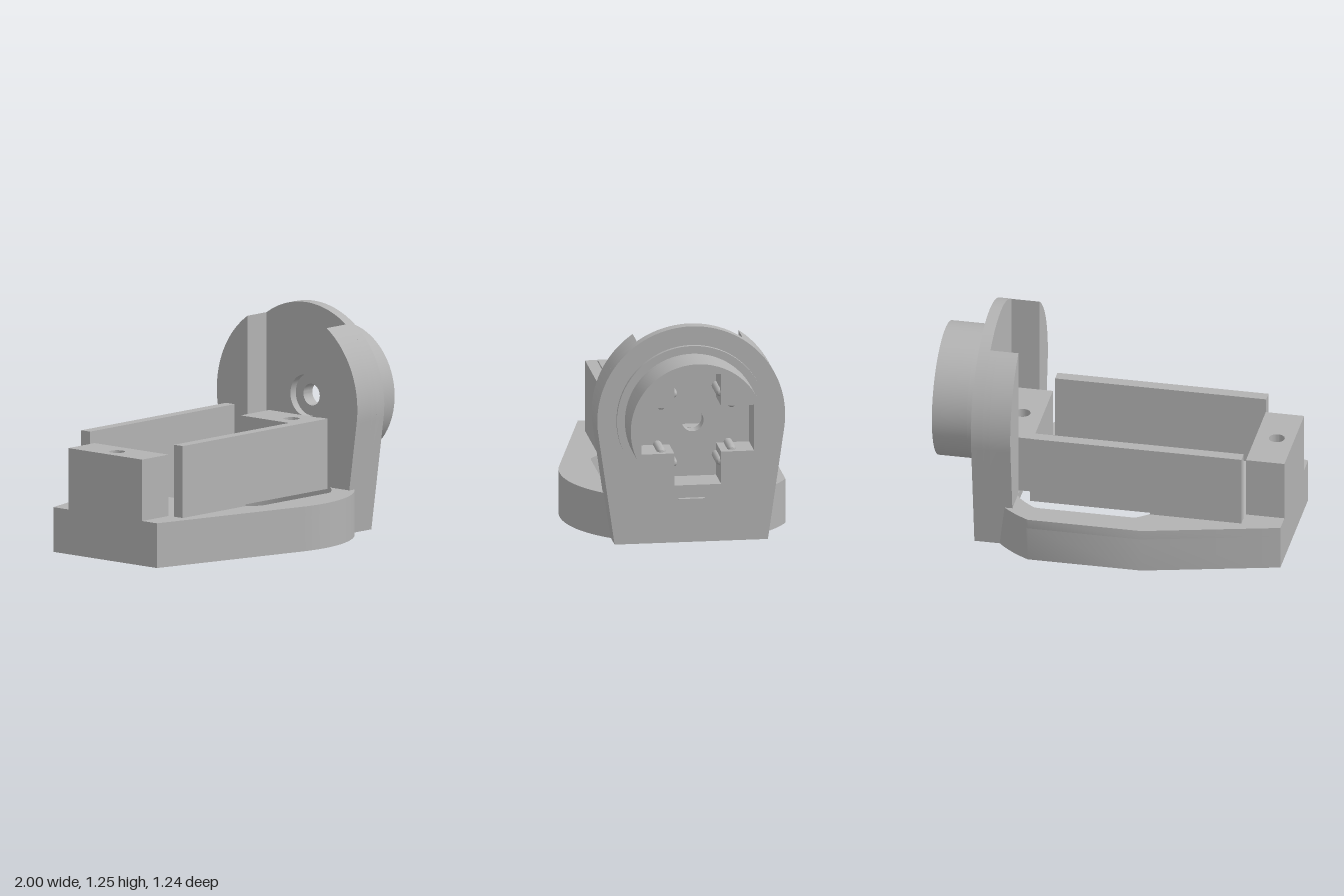
import * as THREE from 'three';
import { toCreasedNormals } from 'three/addons/utils/BufferGeometryUtils.js';

const PI = Math.PI;
const AXIS_Y = 0.72;      // height of the socket axis
const FLANGE_R = 0.533;
const FOOT = 0.435;       // half width of the flange at the ground
const BORE = { x: 0.11, r: 0.525 };

const pt = (x, y) => new THREE.Vector2(x, y);

// Points along a circular arc from angle a0 to a1
function arc(cx, cy, r, a0, a1, n = 40) {
  return Array.from({ length: n + 1 }, (_, i) => {
    const a = a0 + ((a1 - a0) * i) / n;
    return pt(cx + r * Math.cos(a), cy + r * Math.sin(a));
  });
}
const circle = (cx, cy, r, n = 64) => arc(cx, cy, r, 0, 2 * PI, n).slice(0, -1);

function shapeOf(outline, ...holes) {
  const s = new THREE.Shape(outline);
  holes.forEach((h) => s.holes.push(new THREE.Path(h)));
  return s;
}

const extrude = (shape, depth) =>
  new THREE.ExtrudeGeometry(shape, { depth, bevelEnabled: false, curveSegments: 32 });

export function createModel() {
  const model = new THREE.Group();
  const body = new THREE.Group();
  body.name = 'bracket';
  body.position.z = -0.037;
  model.add(body);
  const grey = new THREE.MeshStandardMaterial({ color: 0xb3b3b3 });
  grey.name = 'plain grey';

  function add(name, geometry) {
    const mesh = new THREE.Mesh(toCreasedNormals(geometry, 0.5), grey);
    mesh.name = name;
    body.add(mesh);
    return mesh;
  }
  // Plan shapes (x, -z) raised from y0 to y1
  const addUp = (name, shape, y0, y1) =>
    add(name, extrude(shape, y1 - y0).rotateX(-PI / 2).translate(0, y0, 0));
  // Side shapes (-z, y) swept from x0 to x1
  const addAcross = (name, shape, x0, x1) =>
    add(name, extrude(shape, x1 - x0).rotateY(PI / 2).translate(x0, 0, 0));

  // Base: rounded plate with a wide bore below and a clipped opening on top
  const baseOutline = [
    pt(-1, -0.393),
    ...arc(BORE.x, 0, 0.655, -1.816, -0.702),
    pt(0.66, -0.42), pt(0.66, 0.42),
    ...arc(BORE.x, 0, 0.655, 0.702, 1.0975, 14),
    pt(-0.24, 0.583), pt(-1, 0.393),
  ];
  const bore = circle(BORE.x, 0, BORE.r, 96);
  const opening = bore.map((p) => pt(
    THREE.MathUtils.clamp(p.x, -0.32, 0.52),
    THREE.MathUtils.clamp(p.y, -0.44, 0.44),
  ));
  addUp('base', shapeOf(baseOutline, bore), 0, 0.2);
  addUp('baseLip', shapeOf(baseOutline, opening), 0.2, 0.255);

  // Flange: tall rounded plate with a pocket open to the top behind it
  const tangent = 0.143;
  const notch = Math.acos(0.3 / FLANGE_R);
  const plate = [
    pt(-FOOT, 0), pt(FOOT, 0),
    ...arc(0, AXIS_Y, FLANGE_R, -tangent, PI + tangent, 64),
  ];
  const pocketed = (bottom) => shapeOf([
    ...bottom,
    ...arc(0, AXIS_Y, FLANGE_R, -tangent, notch, 24),
    pt(0.3, 0.255), pt(-0.3, 0.255),
    ...arc(0, AXIS_Y, FLANGE_R, PI - notch, PI + tangent, 24),
  ]);
  addAcross('flangePlate', shapeOf(plate, circle(0, AXIS_Y, 0.12)), 0.68, 0.745);
  addAcross('flangeBack', pocketed([pt(-FOOT, 0), pt(FOOT, 0)]), 0.64, 0.68);
  addAcross('flangeCheeks', pocketed([
    pt(-FOOT, 0), pt(-0.34, 0), pt(-0.34, 0.2),
    pt(0.34, 0.2), pt(0.34, 0), pt(FOOT, 0),
  ]), 0.52, 0.64);

  // Mounting blocks with a blind screw hole
  function block(name, x0, x1, holeX, y0) {
    const rect = [pt(x0, -0.28), pt(x1, -0.28), pt(x1, 0.28), pt(x0, 0.28)];
    addUp(name + 'Foot', shapeOf(rect), y0, 0.32);
    addUp(name, shapeOf(rect, circle(holeX, 0, 0.045, 32)), 0.32, 0.605);
  }
  block('outerBlock', -1, -0.78, -0.9, 0.255);
  block('innerBlock', 0.44, 0.68, 0.557, 0.265);

  // Side panels, slightly clear of the base over the opening
  const panel = shapeOf([
    pt(-0.775, 0.255), pt(-0.25, 0.255), pt(-0.25, 0.265),
    pt(0.435, 0.265), pt(0.435, 0.665), pt(-0.775, 0.665),
  ]);
  for (const [name, z] of [['frontPanel', 0.318], ['backPanel', -0.386]]) {
    add(name, extrude(panel, 0.066).translate(0, 0, z));
  }

  // Socket: collar, floor and a barrel with a cross-shaped recess
  const hole = circle(0, AXIS_Y, 0.062, 40);
  const disc = circle(0, AXIS_Y, 0.38, 80);
  addAcross('collar', shapeOf(circle(0, AXIS_Y, 0.425, 80), hole), 0.725, 0.768);
  addAcross('socketFloor', shapeOf(disc, hole), 0.768, 0.8);
  const a = 0.133, b = 0.32;
  const cross = [
    [a, -b], [a, -a], [b, -a], [b, a], [a, a], [a, b],
    [-a, b], [-a, a], [-b, a], [-b, -a], [-a, -a], [-a, -b],
  ].map(([x, y]) => pt(x, y + AXIS_Y));
  addAcross('socketBarrel', shapeOf(disc, cross), 0.8, 1);

  // Small ledge under the collar
  add('ledge', new THREE.BoxGeometry(0.03, 0.005, 0.15).translate(0.755, 0.255, 0));

  // Round-nosed pins set into the recess walls
  const pinProfile = [
    pt(0.025, 0), pt(0.025, 0.14), pt(0.022, 0.152), pt(0.014, 0.163), pt(0, 0.168),
  ];
  for (const sy of [-1, 1]) for (const sz of [-1, 1]) {
    for (const [y, z] of [[a, 0.2], [0.2, a]]) {
      add('pin', new THREE.LatheGeometry(pinProfile, 20).rotateZ(-PI / 2)
        .translate(0.8, AXIS_Y + sy * y, sz * z));
    }
  }
  return model;
}
